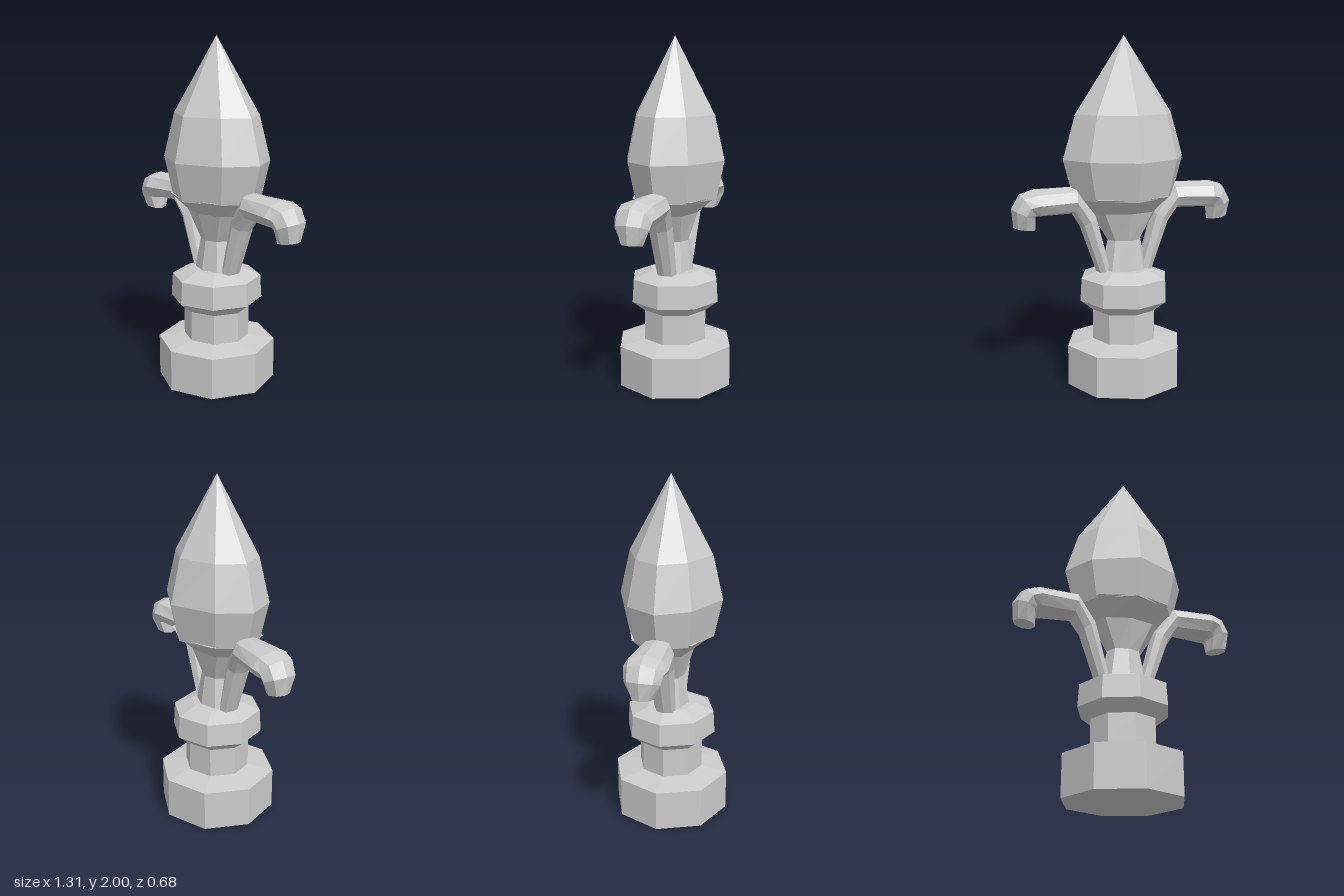
import * as THREE from 'three';

const SIDES = 8;

// Closed, faceted skin through a list of eight-sided rings, capped at both ends
function loft(name, rings) {
  const pos = [];
  const tri = (a, b, c) => {
    const area = b.clone().sub(a).cross(c.clone().sub(a)).length();
    if (area > 1e-7) for (const p of [a, b, c]) pos.push(p.x, p.y, p.z);
  };
  for (let i = 0; i < rings.length - 1; i++) {
    for (let j = 0; j < SIDES; j++) {
      const k = (j + 1) % SIDES;
      const [a, b, c, d] = [rings[i][j], rings[i][k], rings[i + 1][k], rings[i + 1][j]];
      tri(a, b, c);
      tri(a, c, d);
    }
  }
  const first = rings[0], last = rings[rings.length - 1];
  for (let j = 1; j < SIDES - 1; j++) {
    tri(first[0], first[j + 1], first[j]);
    tri(last[0], last[j], last[j + 1]);
  }
  const geo = new THREE.BufferGeometry();
  geo.setAttribute('position', new THREE.Float32BufferAttribute(pos, 3));
  geo.computeVertexNormals();
  const mesh = new THREE.Mesh(geo, new THREE.MeshStandardMaterial({ color: 0xcccccc, flatShading: true }));
  mesh.name = name;
  return mesh;
}

// Ring around a centre, spanned by the half-axes u and v; pinch narrows v on the diagonals
function ring(centre, u, v, pinch = 1) {
  return Array.from({ length: SIDES }, (_, j) => {
    const a = (j / SIDES) * Math.PI * 2;
    const s = Math.sin(a) * (j % 2 ? pinch : 1);
    return centre.clone().addScaledVector(u, Math.cos(a)).addScaledVector(v, s);
  });
}

// Level ring: height, half-width in x, half-depth in z
const level = ([y, rx, rz = rx], pinch) =>
  ring(new THREE.Vector3(0, y, 0), new THREE.Vector3(rx, 0, 0), new THREE.Vector3(0, 0, -rz), pinch);

// Arm ring: upper point, lower point, half-depth in z
const armRing = ([x0, y0, x1, y1, w]) =>
  ring(
    new THREE.Vector3((x0 + x1) / 2, (y0 + y1) / 2, 0),
    new THREE.Vector3((x0 - x1) / 2, (y0 - y1) / 2, 0),
    new THREE.Vector3(0, 0, w)
  );

export function createModel() {
  const model = new THREE.Group();
  model.name = 'finial';

  // Octagonal foot, neck and collar
  model.add(loft('pedestal', [
    [0, 0.342], [0.238, 0.342], [0.265, 0.19], [0.44, 0.19],
    [0.5, 0.265], [0.632, 0.257], [0.675, 0.15],
  ].map((r) => level(r))));

  // Waisted stem flaring out under the bulb
  model.add(loft('stem', [
    [0.66, 0.14, 0.11], [0.85, 0.1, 0.083], [1.015, 0.2, 0.135], [1.11, 0.29, 0.245],
  ].map((r) => level(r))));

  // Pointed bulb, wider than deep
  model.add(loft('bulb', [
    [1.1, 0.3, 0.25], [1.32, 0.358, 0.297], [1.57, 0.285, 0.238], [2, 0, 0],
  ].map((r) => level(r, 0.85))));

  // Curled arms on both sides
  const armRings = [
    [0.08, 0.66, 0.165, 0.66, 0.06],
    [0.17, 1.0, 0.265, 0.94, 0.075],
    [0.29, 1.168, 0.31, 1.015, 0.095],
    [0.53, 1.165, 0.5, 1.01, 0.122],
    [0.61, 1.14, 0.515, 1.01, 0.108],
    [0.655, 1.06, 0.52, 1.005, 0.098],
    [0.645, 0.955, 0.52, 0.935, 0.06],
  ].map(armRing);
  for (const side of ['left', 'right']) {
    const arm = loft(side + 'Arm', armRings);
    if (side === 'right') arm.rotation.y = Math.PI;
    model.add(arm);
  }
  return model;
}
